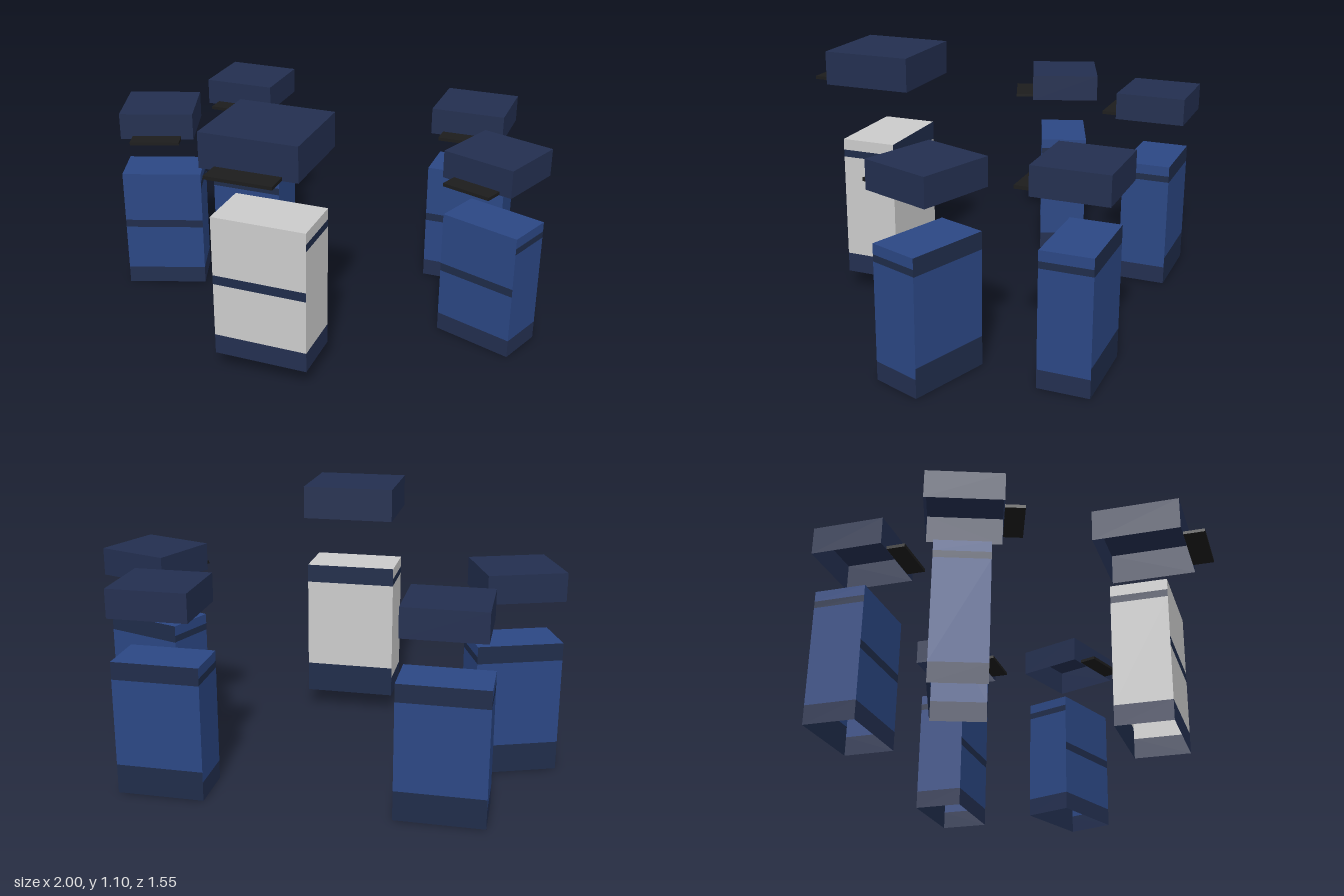
import * as THREE from 'three';

const mat = (color) => new THREE.MeshStandardMaterial({ color, side: THREE.DoubleSide });
const navy = mat(0x232f50), stripe = mat(0x1f2c4a), blue = mat(0x2b4784);
const grey = mat(0xcccccc), black = mat(0x1c1c1c);

function add(parent, name, geometry, material) {
  const mesh = new THREE.Mesh(geometry, material);
  mesh.name = name;
  parent.add(mesh);
  return mesh;
}

// One upright wall made of stacked strips: [bottom, top, material]
function wall(name, width, distance, angle, strips) {
  const g = new THREE.Group();
  g.name = name;
  for (const [y0, y1, m] of strips) {
    add(g, name + 'Strip', new THREE.PlaneGeometry(width, y1 - y0), m)
      .position.set(0, (y0 + y1) / 2, distance);
  }
  g.rotation.y = angle;
  return g;
}

// Hollow box, open below, with its own strips on front, sides and back
function openBox(name, w, h, d, front, side, back, lidMaterial) {
  const g = new THREE.Group();
  g.name = name;
  g.add(
    wall('frontWall', w, d / 2, 0, front),
    wall('leftWall', d, w / 2, Math.PI / 2, side),
    wall('backWall', w, d / 2, Math.PI, back),
    wall('rightWall', d, w / 2, -Math.PI / 2, side),
  );
  const lid = add(g, 'lid', new THREE.PlaneGeometry(w, d), lidMaterial);
  lid.rotation.x = -Math.PI / 2;
  lid.position.y = h;
  return g;
}

// Banded body; all heights are fractions of a 0.57 tall body
function makeBody(w, h, d, main) {
  const s = h / 0.57;
  const stack = (rows) => rows.map(([a, b, m]) => [a * s, b * s, m]);
  const front = stack([[0, 0.08, navy], [0.08, 0.296, main], [0.296, 0.333, stripe], [0.333, 0.57, main]]);
  const side = stack([[0, 0.08, navy], [0.08, 0.497, main], [0.497, 0.526, stripe], [0.526, 0.57, main]]);
  const back = stack([[0, 0.125, stripe], [0.125, 0.495, main], [0.495, 0.57, stripe]]);
  return openBox('body', w, h, d, front, side, back, main);
}

// Hollow cap with a thin peak at the front
function makeCap(w, h, d, peakW, peakL) {
  const strips = [[0, h, navy]];
  const cap = openBox('cap', w, h, d, strips, strips, strips, navy);
  add(cap, 'peak', new THREE.BoxGeometry(peakW, 0.014, peakL), black)
    .position.set(0, 0.009, d / 2 + peakL / 2);
  return cap;
}

export function createModel() {
  const model = new THREE.Group();
  model.name = 'cappedFigures';

  // Larger grey figure in front
  const leader = new THREE.Group();
  leader.name = 'leadFigure';
  const leadBody = makeBody(0.41, 0.635, 0.245, grey);
  leadBody.position.y = 0.08;
  const leadCap = makeCap(0.41, 0.147, 0.39, 0.28, 0.095);
  leadCap.position.y = 0.956;
  leader.add(leadBody, leadCap);
  leader.position.z = 0.484;
  model.add(leader);

  // Four blue figures, mirrored: inner pair faces forward, outer pair turns inward
  for (const side of [-1, 1]) {
    for (const [name, x, z, turn] of [['rearFigure', 0.568, -0.62, 0], ['outerFigure', 0.791, -0.086, 20]]) {
      const figure = new THREE.Group();
      figure.name = name;
      const cap = makeCap(0.33, 0.12, 0.31, 0.22, 0.08);
      cap.position.y = 0.765;
      figure.add(makeBody(0.365, 0.57, 0.216, blue), cap);
      figure.position.set(side * x, 0, z);
      figure.rotation.y = -side * THREE.MathUtils.degToRad(turn);
      model.add(figure);
    }
  }
  return model;
}
